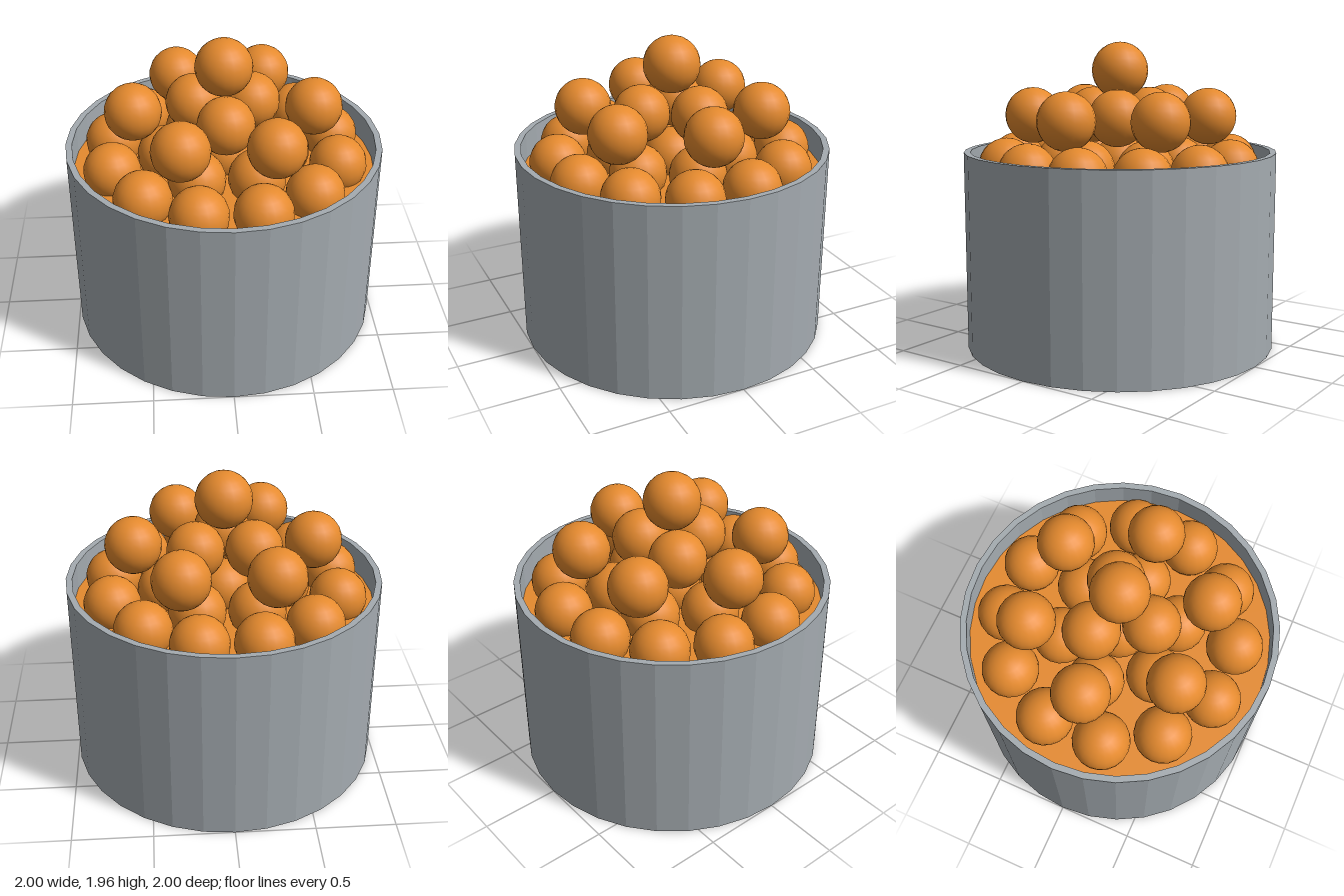
import * as THREE from 'three';

const SIDES = 32;
const BALL_R = 0.18;

export function createModel() {
  const model = new THREE.Group();
  const metal = new THREE.MeshStandardMaterial({ color: 0xa4abb0, flatShading: true });
  const orange = new THREE.MeshStandardMaterial({ color: 0xe58a2e });

  // Open bucket with a thin wall and a closed base
  const profile = [[0, 0], [1, 0], [1, 1.27], [0.96, 1.27], [0.96, 0.04], [0, 0.04]]
    .map(([x, y]) => new THREE.Vector2(x, y));
  const bucket = new THREE.Mesh(new THREE.LatheGeometry(profile, SIDES), metal);
  bucket.name = 'bucket';
  model.add(bucket);

  // Level surface of the contents, just under the visible balls
  const fill = new THREE.Mesh(new THREE.CircleGeometry(0.96, SIDES), orange);
  fill.name = 'fillSurface';
  fill.rotation.x = -Math.PI / 2;
  fill.position.y = 1.1;
  model.add(fill);

  // Balls stacked in rings: count, ring radius, height, start angle in degrees
  const ballGeometry = new THREE.SphereGeometry(BALL_R, 20, 14);
  const pile = new THREE.Group();
  pile.name = 'ballPile';
  const addRing = (name, count, radius, y, start) => {
    for (let i = 0; i < count; i++) {
      const a = THREE.MathUtils.degToRad(start + (i * 360) / count);
      const ball = new THREE.Mesh(ballGeometry, orange);
      ball.name = name;
      ball.position.set(Math.cos(a) * radius, y, Math.sin(a) * radius);
      pile.add(ball);
    }
  };
  addRing('lowerOuterBall', 12, 0.73, 1.18, 15);
  addRing('lowerInnerBall', 6, 0.37, 1.18, 0);
  addRing('lowerCentreBall', 1, 0, 1.18, 0);
  addRing('middleOuterBall', 6, 0.565, 1.49, 0);
  addRing('middleInnerBall', 3, 0.21, 1.49, 90);
  addRing('topBall', 1, 0, 1.78, 0);
  model.add(pile);

  return model;
}
